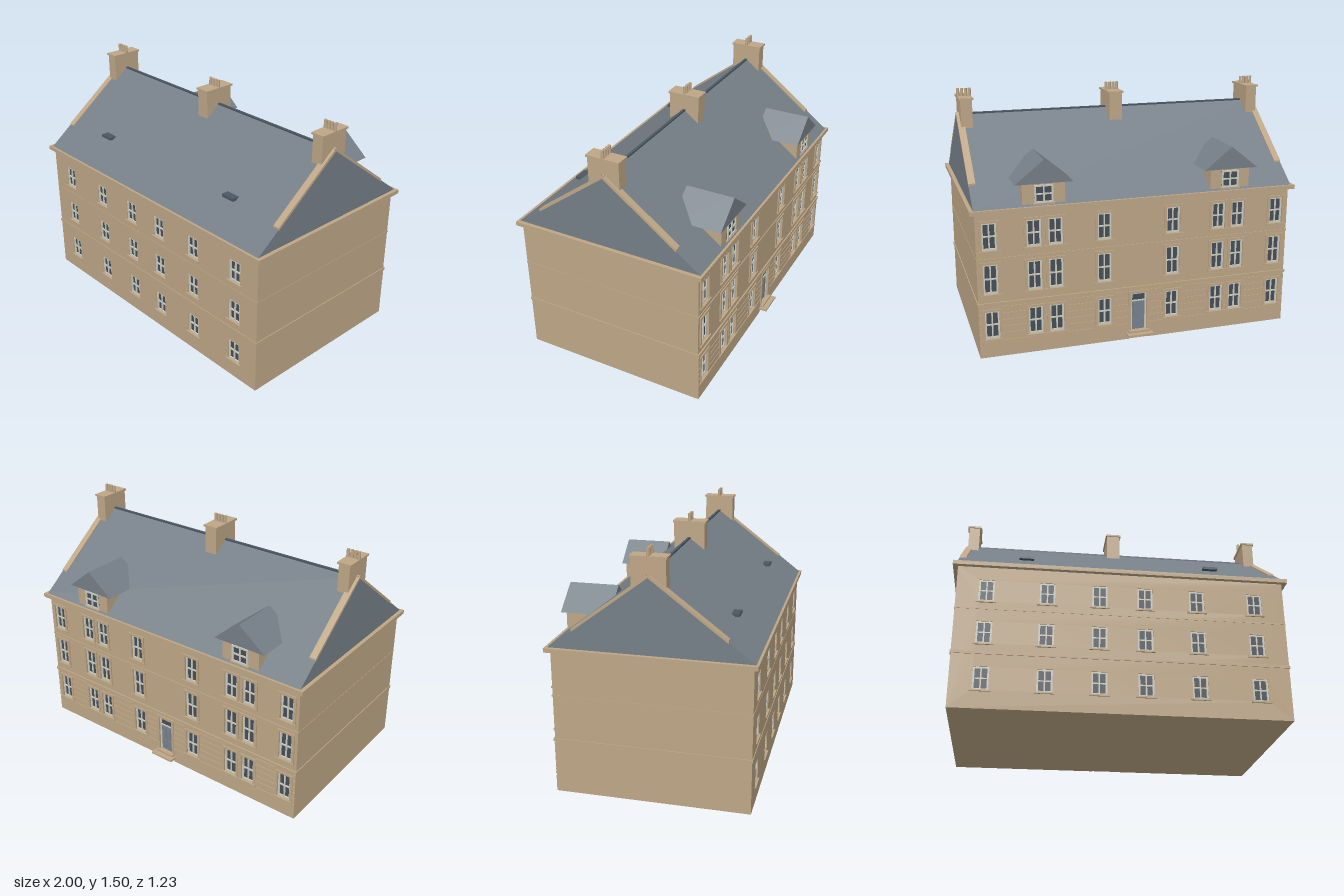
import * as THREE from 'three';

const mat = (name, color) => Object.assign(new THREE.MeshStandardMaterial({ color }), { name });

export function createModel() {
  const root = new THREE.Group();
  root.name = 'townhouse';
  const stone = mat('sandstone', 0xbea686);
  const slate = mat('slate', 0x757e87);
  const dark = mat('darkSlate', 0x4b5763);
  const glass = mat('glass', 0x464e58);
  const white = mat('paintedFrame', 0xccccc0);
  const doorPaint = mat('doorPaint', 0x76838f);

  const add = (parent, name, geo, material) => {
    const m = new THREE.Mesh(geo, material);
    m.name = name;
    parent.add(m);
    return m;
  };
  // box given by its minimum and maximum corners
  const box = (parent, name, material, x0, x1, y0, y1, z0, z1) => {
    const m = add(parent, name, new THREE.BoxGeometry(x1 - x0, y1 - y0, z1 - z0), material);
    m.position.set((x0 + x1) / 2, (y0 + y1) / 2, (z0 + z1) / 2);
    return m;
  };
  const rectPoints = (x0, x1, y0, y1) =>
    [[x0, y0], [x1, y0], [x1, y1], [x0, y1]].map(p => new THREE.Vector2(...p));
  // plate with rectangular openings, its face at local z = front
  const plate = (parent, name, material, outer, holes, depth, front) => {
    const s = new THREE.Shape(rectPoints(...outer));
    holes.forEach(h => s.holes.push(new THREE.Path(rectPoints(...h))));
    const g = new THREE.ExtrudeGeometry(s, { depth, bevelEnabled: false });
    g.translate(0, 0, front - depth);
    return add(parent, name, g, material);
  };
  // (z, y) profile swept along x
  const sweepX = (parent, name, material, pts, x0, x1) => {
    const s = new THREE.Shape(pts.map(p => new THREE.Vector2(...p)));
    const g = new THREE.ExtrudeGeometry(s, { depth: x1 - x0, bevelEnabled: false });
    g.rotateY(-Math.PI / 2).translate(x1, 0, 0);
    return add(parent, name, g, material);
  };
  // sash window filling an opening, set just behind local z = 0
  const sash = (parent, x0, x1, y0, y1) => {
    const g = new THREE.Group();
    g.name = 'sashWindow';
    parent.add(g);
    const cx = (x0 + x1) / 2, cy = (y0 + y1) / 2, f = 0.01;
    box(g, 'glazing', glass, x0, x1, y0, y1, -0.018, -0.013);
    plate(g, 'windowFrame', white, [x0, x1, y0, y1], [
      [x0 + f, cx - 0.004, y0 + f, cy - 0.004], [cx + 0.004, x1 - f, y0 + f, cy - 0.004],
      [x0 + f, cx - 0.004, cy + 0.004, y1 - f], [cx + 0.004, x1 - f, cy + 0.004, y1 - f],
    ], 0.009, -0.005);
    return g;
  };

  // solid core behind the two facades
  box(root, 'wallCore', stone, -0.97, 0.97, 0, 0.875, -0.54, 0.57);

  // front facade
  const front = new THREE.Group();
  front.name = 'frontFacade';
  front.position.z = 0.59;
  root.add(front);
  const frontHoles = [];
  for (const x of [-0.795, -0.443, -0.137, 0.13, 0.44, 0.79])
    for (const y of [0.11, 0.39, 0.655]) frontHoles.push([x - 0.045, x + 0.045, y, y + 0.137]);
  plate(front, 'frontWall', stone, [-0.97, 0.97, 0, 0.875], frontHoles, 0.02, 0);
  for (const h of frontHoles) {
    sash(front, ...h);
    box(front, 'sill', stone, h[0] - 0.013, h[1] + 0.013, h[2] - 0.01, h[2], -0.01, 0.009);
  }

  // back facade, built facing local +z and turned round
  const back = new THREE.Group();
  back.name = 'backFacade';
  back.position.z = -0.56;
  back.rotation.y = Math.PI;
  root.add(back);
  const bays = [-0.892, -0.635, -0.508, -0.214, 0.214, 0.508, 0.635, 0.892];
  const door = [-0.05, 0.05, 0.055, 0.295];
  const backHoles = [];
  for (const x of bays)
    for (const [y0, y1] of [[0.115, 0.285], [0.392, 0.572], [0.657, 0.82]])
      backHoles.push([x - 0.043, x + 0.043, y0, y1]);
  plate(back, 'backWall', stone, [-0.97, 0.97, 0, 0.875], [...backHoles, door], 0.02, 0);
  for (const h of backHoles) {
    sash(back, ...h);
    plate(back, 'windowSurround', stone,
      [h[0] - 0.016, h[1] + 0.016, h[2] - 0.002, h[3] + 0.014], [h], 0.008, 0.007);
    box(back, 'sill', stone, h[0] - 0.02, h[1] + 0.02, h[2] - 0.01, h[2], -0.01, 0.013);
  }

  // channelled ground-floor courses between the openings
  const edges = [-0.97];
  for (const x of [...bays, 0].sort((a, b) => a - b)) edges.push(x - 0.059, x + 0.059);
  edges.push(0.97);
  for (let row = 0; row < 5; row++) {
    const y = 0.112 + row * 0.041;
    for (let i = 0; i < edges.length; i += 2)
      box(back, 'stoneCourse', stone, edges[i], edges[i + 1], y, y + 0.035, -0.002, 0.004);
  }
  box(back, 'plinth', stone, -0.97, -0.066, 0, 0.1, -0.002, 0.004);
  box(back, 'plinth', stone, 0.066, 0.97, 0, 0.1, -0.002, 0.004);

  // door, fanlight and steps
  plate(back, 'doorSurround', stone, [-0.066, 0.066, 0.05, 0.312], [door], 0.01, 0.009);
  plate(back, 'doorFrame', white, door,
    [[-0.04, 0.04, 0.055, 0.24], [-0.04, 0.04, 0.248, 0.287]], 0.01, -0.003);
  box(back, 'door', doorPaint, -0.04, 0.04, 0.055, 0.24, -0.018, -0.008);
  for (const x of [-0.019, 0.019])
    for (const [y0, y1] of [[0.07, 0.13], [0.145, 0.225]])
      box(back, 'doorPanel', doorPaint, x - 0.013, x + 0.013, y0, y1, -0.009, -0.005);
  box(back, 'fanlight', glass, -0.04, 0.04, 0.248, 0.287, -0.018, -0.009);
  box(back, 'lowerStep', stone, -0.08, 0.08, 0.03, 0.043, 0, 0.055);
  box(back, 'upperStep', stone, -0.066, 0.066, 0.043, 0.056, -0.005, 0.025);

  // string courses and eaves cornice
  box(root, 'stringCourse', stone, -0.975, 0.975, 0.322, 0.34, -0.569, 0.594);
  box(root, 'upperStringCourse', stone, -0.972, 0.972, 0.602, 0.61, -0.565, 0.592);
  box(root, 'cornice', stone, -1, 1, 0.875, 0.9, -0.59, 0.615);

  // main roof, ridge and raised gable copings
  sweepX(root, 'mainRoof', slate, [[0.6, 0.9], [0.012, 1.345], [-0.575, 0.9]], -0.977, 0.977);
  box(root, 'ridge', dark, -0.975, 0.975, 1.334, 1.349, 0.004, 0.02);
  for (const s of [-1, 1])
    sweepX(root, 'gableCoping', stone, [[0.45, 1.005], [0.45, 1.023], [0.012, 1.354],
      [-0.43, 1.02], [-0.43, 1.002], [0.012, 1.335]], s * 0.957 - 0.0205, s * 0.957 + 0.0205);

  // chimneys with a row of pots
  for (const cx of [-0.925, 0, 0.925]) {
    const g = new THREE.Group();
    g.name = 'chimney';
    g.position.x = cx;
    root.add(g);
    const w = cx ? 0.035 : 0.041;
    box(g, 'stack', stone, -w, w, 1.24, 1.44, -0.085, 0.11);
    box(g, 'stackCap', stone, -w - 0.008, w + 0.008, 1.438, 1.45, -0.092, 0.117);
    for (let i = 0; i < 4; i++) {
      const pot = add(g, 'chimneyPot', new THREE.CylinderGeometry(0.009, 0.01, 0.047, 12), stone);
      pot.position.set((i - 1.5) * 0.023, 1.473, 0.012);
    }
  }

  // dormers and skylights
  for (const cx of [-0.573, 0.573]) {
    const g = new THREE.Group();
    g.name = 'dormer';
    g.position.x = cx;
    root.add(g);
    box(g, 'dormerWall', stone, -0.125, 0.125, 0.89, 1.031, -0.562, -0.36);
    const roof = new THREE.Shape([[-0.17, 1.03], [0.17, 1.03], [0, 1.165]]
      .map(p => new THREE.Vector2(...p)));
    const geo = new THREE.ExtrudeGeometry(roof, { depth: 0.297, bevelEnabled: false });
    geo.translate(0, 0, -0.579);
    add(g, 'dormerRoof', geo, slate);
    const win = sash(g, -0.055, 0.055, 0.915, 1.02);
    win.position.z = -0.575;
    win.rotation.y = Math.PI;
    win.position.z = -0.576;
    box(g, 'dormerSill', stone, -0.065, 0.065, 0.905, 0.915, -0.574, -0.56);
    box(root, 'skylight', dark, cx - 0.045, cx + 0.045, 1.038, 1.055, 0.39, 0.442);
  }
  return root;
}
